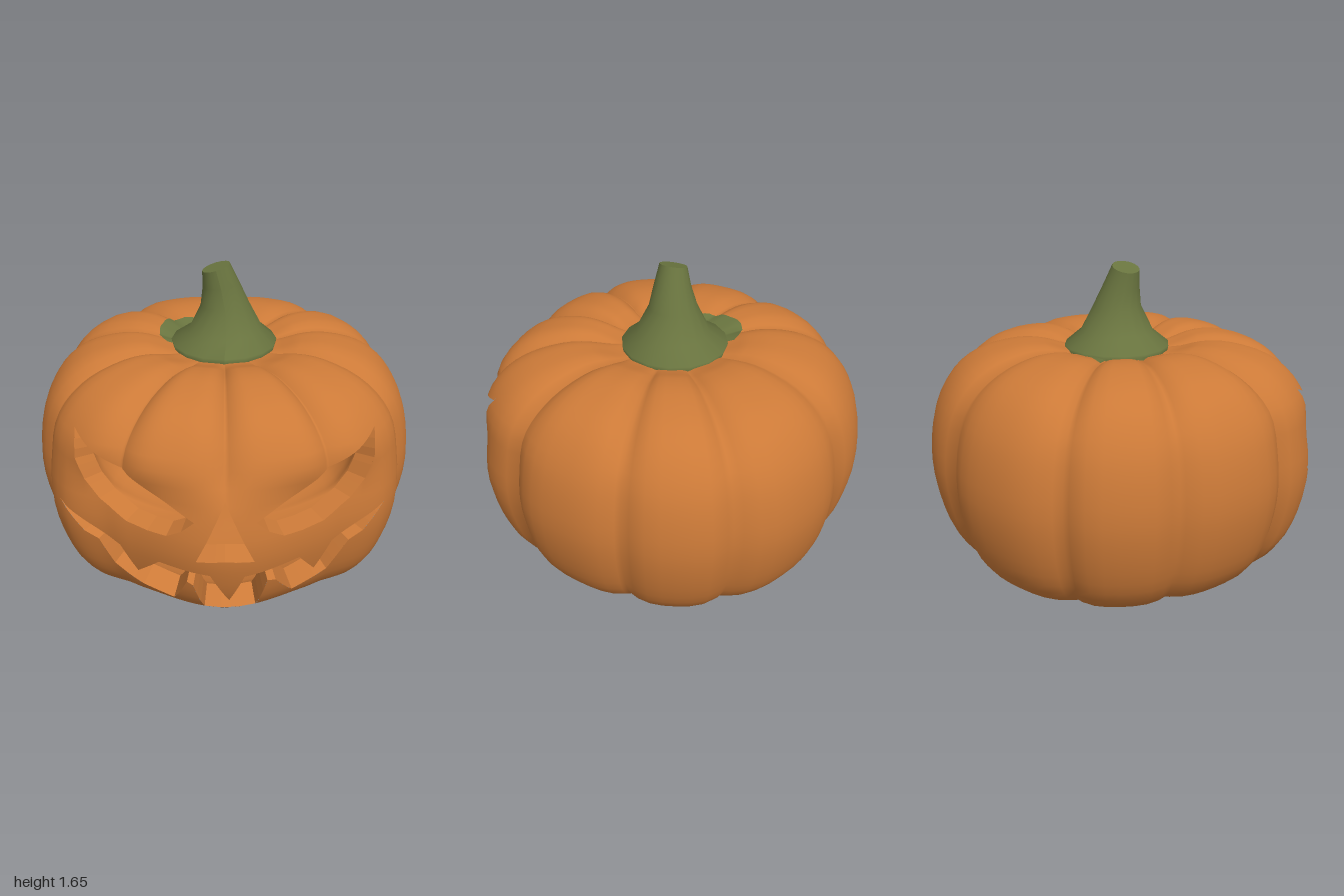
import * as THREE from 'three';

const { smoothstep, clamp, lerp, degToRad } = THREE.MathUtils;

// Outline of the body from the bottom centre to the top centre: radius, height
const OUTLINE = [[0, 0], [0.4, 0.005], [0.73, 0.09], [0.87, 0.21], [0.95, 0.4], [0.985, 0.65], [0.95, 0.9],
  [0.86, 1.08], [0.73, 1.19], [0.55, 1.245], [0.4, 1.245], [0.25, 1.2], [0, 1.17]];
const profile = new THREE.SplineCurve(OUTLINE.map(p => new THREE.Vector2(...p)));
const CORE = new THREE.Vector3(0, 0.75, 0);
const INNER = 0.89; // size of the hollow
const GROOVES = [0, 31, 67, 105, 137, 180].map(degToRad); // mirrored on the other side

// 1 in the middle of a groove, 0 on the crest of a lobe
function grooveAt(angle) {
  const a = Math.abs(angle) > Math.PI ? 2 * Math.PI - Math.abs(angle) : Math.abs(angle);
  const i = Math.max(1, GROOVES.findIndex(g => g >= a));
  const s = (a - GROOVES[i - 1]) / (GROOVES[i] - GROOVES[i - 1]);
  return (1 - Math.sin(Math.PI * s)) ** 2;
}

// Point on the ribbed skin; t is the angle from the front, v runs up the outline
function skin(t, v, scale = 1) {
  const p = profile.getPoint(clamp(v, 0, 1));
  const a = Math.abs(t), c = Math.cos(t), groove = grooveAt(t);
  const face = (1 - smoothstep(a, 0.6, 0.9)) * (1 - smoothstep(p.y, 0.78, 1.0));
  const dent = lerp(0.055 * groove, 0.065 * smoothstep(a, 0, 0.5), face);
  const along = c < 0 ? 0.03 : lerp(0.015, -0.01, smoothstep(p.y, 0.5, 0.85));
  const corners = lerp(0.03, c > 0 ? 0.06 : 0.03, smoothstep(p.y, 0.8, 1.05));
  const r = Math.max(0, p.x) * (1 - dent) * (1 + along * c * c + corners * Math.sin(2 * t) ** 2);
  const dip = 0.04 * groove * smoothstep(p.y, 0.95, 1.2) * smoothstep(p.x, 0.2, 0.42);
  return new THREE.Vector3(r * Math.sin(t), p.y - dip, r * c).sub(CORE).multiplyScalar(scale).add(CORE);
}

function skinNormal(t, v) {
  const e = 0.006, w = clamp(v, 0.01, 0.99);
  const dt = skin(t + e, w).sub(skin(t - e, w));
  const dv = skin(t, w + e).sub(skin(t, w - e));
  return dt.cross(dv).normalize();
}

// Skin coordinates of a spot given by its x and y on the face
function locate([x, y]) {
  let t = 0, v = 0.4;
  for (let i = 0; i < 16; i++) {
    let lo = 1 / 12, hi = 8 / 12;
    for (let k = 0; k < 24; k++) {
      v = (lo + hi) / 2;
      if (skin(t, v).y < y) lo = v; else hi = v;
    }
    const p = skin(t, v);
    t = Math.asin(clamp(x / Math.hypot(p.x, p.z), -1, 1));
  }
  return [t, v];
}

// Cut-outs, counter-clockwise seen from the front
const EYE = [[-0.7, 1.05], [-0.7, 0.92], [-0.66, 0.82], [-0.59, 0.74], [-0.46, 0.665], [-0.36, 0.65],
  [-0.27, 0.65], [-0.2, 0.69], [-0.14, 0.745]];
const NOSE = [[0, 0.85], [-0.135, 0.54], [0, 0.555], [0.135, 0.54]];
const MOUTH = [[-0.8, 0.66], [-0.68, 0.53], [-0.61, 0.5], [-0.54, 0.35], [-0.4, 0.24], [-0.25, 0.19],
  [-0.18, 0.39], [-0.15, 0.37], [-0.1, 0.16], [0.15, 0.16], [0.2, 0.39], [0.24, 0.38], [0.33, 0.23],
  [0.5, 0.32], [0.6, 0.49], [0.67, 0.53], [0.77, 0.66], [0.51, 0.53], [0.43, 0.37], [0.35, 0.49],
  [0.09, 0.45], [0.02, 0.27], [-0.07, 0.46], [-0.31, 0.48], [-0.42, 0.36], [-0.5, 0.51]];
const mirrored = EYE.map(([x, y]) => [-x, y]).reverse();

function outlineOnSkin(points, parts = 3) {
  return points.flatMap((a, i) => {
    const b = points[(i + 1) % points.length];
    return Array.from({ length: parts }, (_, k) =>
      locate([lerp(a[0], b[0], k / parts), lerp(a[1], b[1], k / parts)]));
  });
}

// Upright strips of skin, interrupted where they cross a cut-out
function shellGeometry(edges, scale, sign) {
  const cuts = edges.map(e => e[0][0]);
  for (let i = 0; i <= 80; i++) cuts.push(-Math.PI + i * Math.PI / 40);
  for (const g of GROOVES) cuts.push(g, -g);
  cuts.sort((a, b) => a - b);
  const ts = cuts.filter((t, i) => i === 0 || t - cuts[i - 1] > 1e-5);
  const pos = [], nor = [], index = [], rows = 36;
  const put = (t, v) => {
    pos.push(...skin(t, v, scale).toArray());
    nor.push(...skinNormal(t, v).multiplyScalar(sign).toArray());
  };
  for (let s = 0; s + 1 < ts.length; s++) {
    const t0 = ts[s], t1 = ts[s + 1], mid = (t0 + t1) / 2;
    const at = ([a, b], t) => a[1] + (b[1] - a[1]) * (t - a[0]) / (b[0] - a[0]);
    const crossed = edges.filter(([a, b]) => (a[0] < mid) !== (b[0] < mid))
      .sort((e, f) => at(e, mid) - at(f, mid));
    const bounds = [() => 0, ...crossed.map(e => t => at(e, t)), () => 1];
    for (let k = 0; k + 1 < bounds.length; k += 2) {
      const [lo, hi] = [bounds[k], bounds[k + 1]];
      const base = pos.length / 3;
      for (let j = 0; j <= rows; j++) {
        // the end rows snap onto the rim
        for (const t of [t0, t1]) put(t, Math.max(lo(t), Math.min(j / rows, hi(t))));
      }
      for (let j = 0; j < rows; j++) {
        const a = base + 2 * j, b = a + 1, c = a + 2, d = a + 3;
        if (pos[a * 3 + 1] === pos[c * 3 + 1] && pos[b * 3 + 1] === pos[d * 3 + 1]) continue;
        if (sign > 0) index.push(a, b, d, a, d, c);
        else index.push(a, d, b, a, c, d);
      }
    }
  }
  const g = new THREE.BufferGeometry();
  g.setAttribute('position', new THREE.Float32BufferAttribute(pos, 3));
  g.setAttribute('normal', new THREE.Float32BufferAttribute(nor, 3));
  g.setIndex(index);
  return g;
}

// Thickness of the flesh around one cut-out
function rimGeometry(outline) {
  const pos = [];
  outline.forEach((p, i) => {
    const q = outline[(i + 1) % outline.length];
    const [a, b, c, d] = [skin(...p), skin(...q), skin(...q, INNER), skin(...p, INNER)];
    for (const w of [a, b, c, a, c, d]) pos.push(...w.toArray());
  });
  const g = new THREE.BufferGeometry();
  g.setAttribute('position', new THREE.Float32BufferAttribute(pos, 3));
  g.computeVertexNormals();
  return g;
}

// Flared, leaning stem: centre x, y, z and radius of each ring
function stemGeometry() {
  const rings = [[0, 1.19, -0.03, 0.27], [0, 1.222, -0.03, 0.275], [0.01, 1.29, -0.025, 0.19],
    [0.005, 1.42, -0.025, 0.125], [-0.015, 1.53, -0.01, 0.093], [-0.04, 1.622, 0, 0.07]];
  const g = new THREE.CylinderGeometry(1, 1, 1, 16, rings.length - 1);
  const p = g.attributes.position;
  for (let i = 0; i < p.count; i++) {
    const h = p.getY(i) + 0.5;
    const [x, y, z, r] = rings[Math.round(h * (rings.length - 1))];
    const dx = p.getX(i) * r;
    p.setXYZ(i, x + dx, y + 0.3 * dx * h ** 4, z + p.getZ(i) * r);
  }
  g.computeVertexNormals();
  return g;
}

// Small green patch lying on the skin beside the stem
function patchGeometry() {
  const rim = [[-2.69, 0.88], [-2.37, 0.835], [-2.08, 0.852], [-1.795, 0.855], [-1.57, 0.895]];
  const g = new THREE.PlaneGeometry(1, 1, 16, 6);
  const p = g.attributes.position;
  for (let i = 0; i < p.count; i++) {
    const s = (p.getX(i) + 0.5) * (rim.length - 1);
    const k = Math.min(Math.floor(s), rim.length - 2);
    const t = lerp(rim[k][0], rim[k + 1][0], s - k);
    const v = lerp(lerp(rim[k][1], rim[k + 1][1], s - k), 0.93, p.getY(i) + 0.5);
    const w = skin(t, v).addScaledVector(skinNormal(t, v), 0.006);
    p.setXYZ(i, w.x, w.y, w.z);
  }
  g.computeVertexNormals();
  return g;
}

export function createModel() {
  const orange = new THREE.MeshStandardMaterial({ name: 'orange', color: 0xcc7a38 });
  const green = new THREE.MeshStandardMaterial({ name: 'green', color: 0x69743f });
  const model = new THREE.Group();
  model.name = 'carvedPumpkin';
  const add = (name, geometry, material) => {
    const mesh = new THREE.Mesh(geometry, material);
    mesh.name = name;
    model.add(mesh);
  };

  const holes = { rightEye: EYE, leftEye: mirrored, nose: NOSE, mouth: MOUTH };
  const edges = [];
  for (const [name, points] of Object.entries(holes)) {
    const outline = outlineOnSkin(points);
    outline.forEach((p, i) => edges.push([p, outline[(i + 1) % outline.length]]));
    add(name + 'Rim', rimGeometry(outline), orange);
  }
  add('outerSkin', shellGeometry(edges, 1, 1), orange);
  add('innerSkin', shellGeometry(edges, INNER, -1), orange);
  add('stem', stemGeometry(), green);
  add('stemPatch', patchGeometry(), green);
  return model;
}
